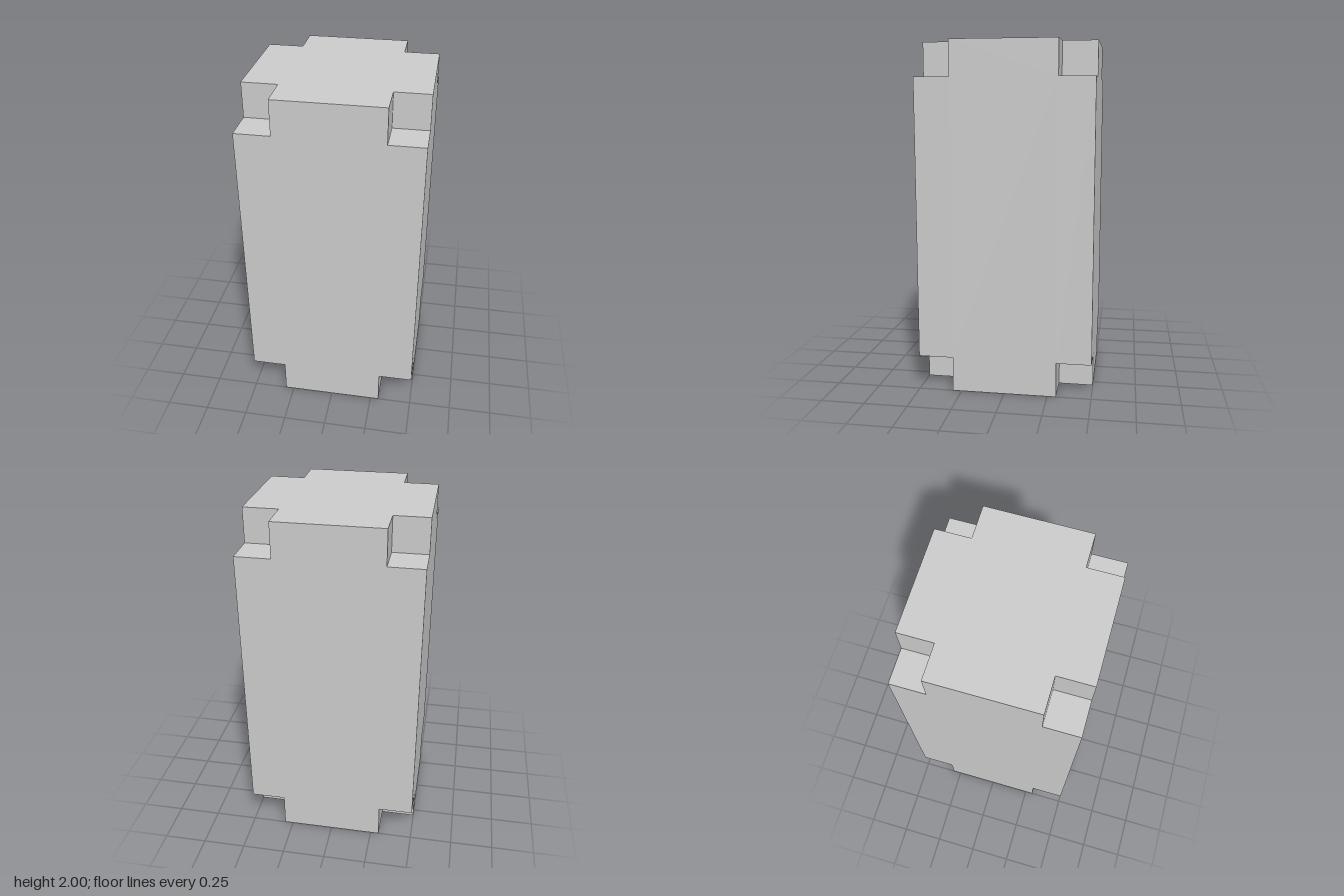
import * as THREE from 'three';
import { mergeGeometries } from 'three/addons/utils/BufferGeometryUtils.js';

const HALF = new THREE.Vector3(0.5, 1, 0.5); // half size of the block
const NOTCH = 0.2; // edge of the cube missing at each corner
const FRONT = new THREE.Vector3(0, 0, 1);

// Turn a flat geometry facing +z towards a unit axis, then move it into place.
function place(geometry, normal, position) {
  if (normal.y) geometry.rotateX(-normal.y * Math.PI / 2);
  else geometry.rotateY(Math.atan2(normal.x, normal.z));
  return geometry.translate(position.x, position.y, position.z);
}

// Rectangle with a square cut from every corner, counter-clockwise.
function notchedRectangle(w, h) {
  const x = w / 2, y = h / 2, a = x - NOTCH, b = y - NOTCH;
  const points = [
    [a, -y], [a, -b], [x, -b], [x, b], [a, b], [a, y],
    [-a, y], [-a, b], [-x, b], [-x, -b], [-a, -b], [-a, -y],
  ].map(([px, py]) => new THREE.Vector2(px, py));
  return new THREE.ShapeGeometry(new THREE.Shape(points));
}

export function createModel() {
  const faces = [];
  const signs = [-1, 1];

  // Six outer faces
  for (const axis of ['x', 'y', 'z']) {
    for (const s of signs) {
      const normal = new THREE.Vector3();
      normal[axis] = s;
      const height = axis === 'y' ? 2 * HALF.z : 2 * HALF.y;
      faces.push(place(notchedRectangle(2 * HALF.x, height), normal, normal.clone().multiply(HALF)));
    }
  }

  // Three inner walls in each of the eight corner notches
  for (const sx of signs) for (const sy of signs) for (const sz of signs) {
    const corner = new THREE.Vector3(sx, sy, sz);
    const centre = HALF.clone().subScalar(NOTCH / 2).multiply(corner);
    for (const axis of ['x', 'y', 'z']) {
      const normal = new THREE.Vector3();
      normal[axis] = corner[axis];
      const position = centre.clone().addScaledVector(normal, -NOTCH / 2);
      faces.push(place(new THREE.PlaneGeometry(NOTCH, NOTCH), normal, position));
    }
  }

  const block = new THREE.Mesh(
    mergeGeometries(faces),
    new THREE.MeshStandardMaterial({ color: 0xcccccc }),
  );
  block.name = 'notchedBlock';
  block.position.y = HALF.y;

  const model = new THREE.Group();
  model.name = 'cornerNotchedBlock';
  model.add(block);
  return model;
}
